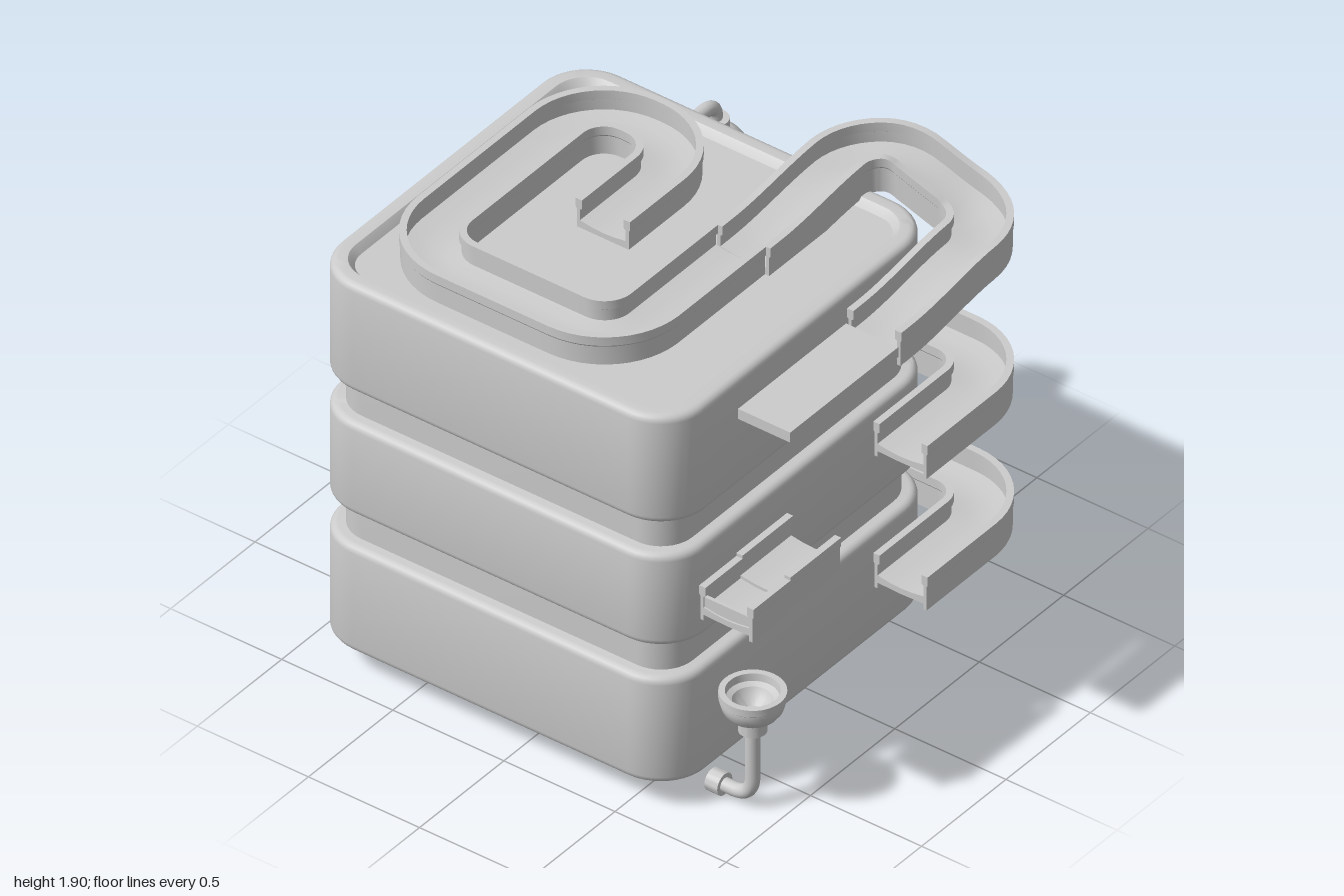
import * as THREE from 'three';
import { toCreasedNormals } from 'three/addons/utils/BufferGeometryUtils.js';

const { lerp, smoothstep } = THREE.MathUtils;

export function createModel() {
  const model = new THREE.Group();
  const material = new THREE.MeshStandardMaterial({ color: 0xcccccc, side: THREE.DoubleSide });

  const add = (name, geometry, parent = model) => {
    const mesh = new THREE.Mesh(geometry, material);
    mesh.name = name;
    parent.add(mesh);
    return mesh;
  };

  const fromTriangles = (points, index, crease) => {
    const g = new THREE.BufferGeometry();
    g.setAttribute('position', new THREE.Float32BufferAttribute(points, 3));
    g.setIndex(index);
    return toCreasedNormals(g, crease);
  };

  // Stack of rounded-square loops; each row is [inset, y]
  const CX = -0.11, CZ = 0.145, HX = 0.82, HZ = 0.795, CORNER = 0.2, STEPS = 10;
  const loft = (rows) => {
    const points = [], index = [], n = 4 * (STEPS + 1);
    for (const [inset, y] of rows) {
      const r = CORNER - inset;
      for (let q = 0; q < 4; q++) {
        const sx = q === 0 || q === 3 ? 1 : -1, sz = q < 2 ? 1 : -1;
        for (let k = 0; k <= STEPS; k++) {
          const a = (q + k / STEPS) * Math.PI / 2;
          points.push(CX + sx * (HX - CORNER) + r * Math.cos(a), y, CZ + sz * (HZ - CORNER) + r * Math.sin(a));
        }
      }
    }
    const last = rows.length - 1, base = points.length / 3;
    points.push(CX, rows[0][1], CZ, CX, rows[last][1], CZ);
    for (let j = 0; j < n; j++) {
      const k = (j + 1) % n;
      for (let i = 0; i < last; i++) {
        const a = i * n + j, b = i * n + k;
        index.push(a, a + n, b, b, a + n, b + n);
      }
      index.push(base, j, k, base + 1, last * n + k, last * n + j);
    }
    return fromTriangles(points, index, 0.6);
  };

  // Filleted tier profile, optionally recessed inside the top or bottom rim
  const tier = (y0, y1, recessBottom, recessTop) => {
    const R = 0.03, rows = [];
    if (recessBottom) rows.push([0.09, y0 + 0.02], [0.07, y0]);
    for (let i = 0; i <= 4; i++) {
      const a = i / 4 * Math.PI / 2;
      rows.push([R * (1 - Math.sin(a)), y0 + R * (1 - Math.cos(a))]);
    }
    for (let i = 0; i <= 4; i++) {
      const a = i / 4 * Math.PI / 2;
      rows.push([R * (1 - Math.cos(a)), y1 - R * (1 - Math.sin(a))]);
    }
    if (recessTop) rows.push([0.065, y1], [0.075, y1 - 0.01], [0.09, y1 - 0.03]);
    return loft(rows);
  };
  add('lowerTier', tier(0.12, 0.592, true, false));
  add('middleTier', tier(0.735, 1.145, false, false));
  add('upperTier', tier(1.285, 1.765, false, true));
  add('lowerNeck', loft([[0.058, 0.56], [0.058, 0.77]]));
  add('upperNeck', loft([[0.058, 1.11], [0.058, 1.32]]));

  // Channel section: two lipped side walls joined by a slightly dished floor
  const right = [[0.103, 0], [0.117, 0], [0.117, 0.105], [0.122, 0.112], [0.122, 0.15],
    [0.094, 0.15], [0.094, 0.112], [0.103, 0.105], [0.103, 0.058], [0.05, 0.05]];
  const section = [[0, 0.022], [0.103, 0.025], ...right, [0, 0.047]]
    .concat(right.slice().reverse().map(([u, v]) => [-u, v]), [[-0.103, 0.025]]);
  const caps = THREE.ShapeUtils.triangulateShape(section.map(([u, v]) => new THREE.Vector2(u, v)), []);

  // Plan path with rounded corners, sampled evenly enough to follow slopes
  const planPath = (corners, radius) => {
    const v = corners.map(([x, z]) => new THREE.Vector2(x, z));
    const out = [];
    const straightTo = (p) => {
      const from = out[out.length - 1].clone(), n = Math.max(1, Math.ceil(from.distanceTo(p) / 0.05));
      if (from.distanceTo(p) < 0.001) return;
      for (let i = 1; i <= n; i++) out.push(from.clone().lerp(p, i / n));
    };
    out.push(v[0]);
    for (let i = 1; i < v.length - 1; i++) {
      const d0 = v[i].clone().sub(v[i - 1]).normalize(), d1 = v[i + 1].clone().sub(v[i]).normalize();
      const start = v[i].clone().addScaledVector(d0, -radius);
      const centre = start.clone().addScaledVector(d1, radius);
      straightTo(start);
      for (let k = 1; k <= 12; k++) {
        const a = k / 12 * Math.PI / 2;
        out.push(centre.clone().addScaledVector(d1, -radius * Math.cos(a)).addScaledVector(d0, radius * Math.sin(a)));
      }
    }
    straightTo(v[v.length - 1]);
    return out;
  };

  // Sweep the channel along a plan path with a height rule
  const track = (name, corners, height, radius = 0.2) => {
    const path = planPath(corners, radius), n = section.length, points = [], index = [];
    path.forEach((p, i) => {
      const t = path[Math.min(i + 1, path.length - 1)].clone().sub(path[Math.max(i - 1, 0)]).normalize();
      const y = height(p.x, p.y);
      for (const [u, v] of section) points.push(p.x - t.y * u, y + v, p.y + t.x * u);
    });
    const end = (path.length - 1) * n;
    for (let i = 0; i < path.length - 1; i++) {
      for (let j = 0; j < n; j++) {
        const a = i * n + j, b = i * n + (j + 1) % n;
        index.push(a, a + n, b, b, a + n, b + n);
      }
    }
    for (const [a, b, c] of caps) index.push(a, b, c, end + a, end + c, end + b);
    return add(name, fromTriangles(points, index, 0.5));
  };

  // Spiral run on the top tray
  track('spiralTrack', [[-0.208, 0.14], [-0.208, -0.4], [-0.665, -0.4], [-0.665, 0.688], [0.268, 0.688], [0.268, -0.04]],
    () => 1.71, 0.215);
  // Loop that leaves the tray over the back and drops down the side
  track('overhangLoop', [[0.287, -0.04], [0.287, -0.8], [0.877, -0.8], [0.877, -0.04]], (x, z) => {
    const rise = smoothstep(-z, 0.1, 0.62);
    return lerp(lerp(1.71, 1.755, rise), lerp(1.6, 1.655, rise), smoothstep(x, 0.36, 0.8));
  });
  // Corner runs around the back edge
  for (const [name, y] of [['lowerCornerTrack', 0.41], ['middleCornerTrack', 1.0]]) {
    track(name, [[0.877, -0.195], [0.877, -0.8], [0.47, -0.8]], () => y);
  }
  // Wavy slide across the back
  track('waveSlide', [[-1, -0.8], [0.15, -0.8]], (x) =>
    0.89 - 0.48 * smoothstep(x, -0.85, -0.1) + 0.07 * smoothstep(x, -0.12, 0.25));
  // Short straight runs either side of the back spout
  for (const x of [-0.845, -0.32]) track('shortTrack', [[x, -0.8], [x + 0.235, -0.8]], () => 1.157);
  // Side run with a lower gated end
  track('sideTrack', [[0.872, 0.31], [0.872, 0.61]], () => 0.89);
  track('gateTrack', [[0.872, 0.61], [0.872, 0.83]], () => 0.885).scale.y = 0.992;
  add('gatePanel', new THREE.BoxGeometry(0.21, 0.075, 0.015)).position.set(0.872, 0.94, 0.815);

  // Flat side plate
  add('sidePlate', new THREE.BoxGeometry(0.235, 0.045, 0.64)).position.set(0.875, 1.667, 0.29);

  // Funnel cup with collar; its rim faces up
  const cupProfile = [[0, -0.055], [0.053, -0.055], [0.053, 0], [0.068, 0.004], [0.094, 0.022], [0.112, 0.047],
    [0.12, 0.075], [0.12, 0.088], [0.124, 0.092], [0.124, 0.122], [0.1, 0.122], [0.096, 0.092], [0.075, 0.082],
    [0.058, 0.05], [0.03, 0.03], [0, 0.03]].map(([x, y]) => new THREE.Vector2(x, y));
  const cup = (parent) => add('cup', toCreasedNormals(new THREE.LatheGeometry(cupProfile, 40), 0.6), parent);
  const pipe = (parent, a, b, corner, c, d) => {
    const [A, B, K, C, D] = [a, b, corner, c, d].map((p) => new THREE.Vector3(...p));
    const curve = new THREE.CurvePath();
    curve.add(new THREE.LineCurve3(A, B));
    curve.add(new THREE.QuadraticBezierCurve3(B, K, C));
    curve.add(new THREE.LineCurve3(C, D));
    add('pipe', new THREE.TubeGeometry(curve, 40, 0.028, 16), parent);
  };
  const collar = (parent, radius, length) =>
    add('pipeCollar', toCreasedNormals(new THREE.CylinderGeometry(radius, radius, length, 28), 0.6), parent);

  // Catch funnel at the front side
  const catcher = new THREE.Group();
  catcher.name = 'catchFunnel';
  model.add(catcher);
  cup(catcher).position.set(0.877, 0.402, 0.68);
  pipe(catcher, [0.877, 0.36, 0.68], [0.877, 0.14, 0.68], [0.877, 0.045, 0.68], [0.79, 0.045, 0.68], [0.7, 0.045, 0.68]);
  const foot = collar(catcher, 0.045, 0.058);
  foot.rotation.z = Math.PI / 2;
  foot.position.set(0.722, 0.045, 0.68);

  // Upside-down spout on the back
  const spout = new THREE.Group();
  spout.name = 'backSpout';
  model.add(spout);
  const bell = cup(spout);
  bell.rotation.x = Math.PI;
  bell.position.set(-0.432, 1.544, -0.82);
  pipe(spout, [-0.432, 1.58, -0.82], [-0.432, 1.61, -0.82], [-0.432, 1.665, -0.82], [-0.432, 1.665, -0.75], [-0.432, 1.665, -0.64]);
  const mount = collar(spout, 0.04, 0.05);
  mount.rotation.x = Math.PI / 2;
  mount.position.set(-0.432, 1.665, -0.665);

  return model;
}
